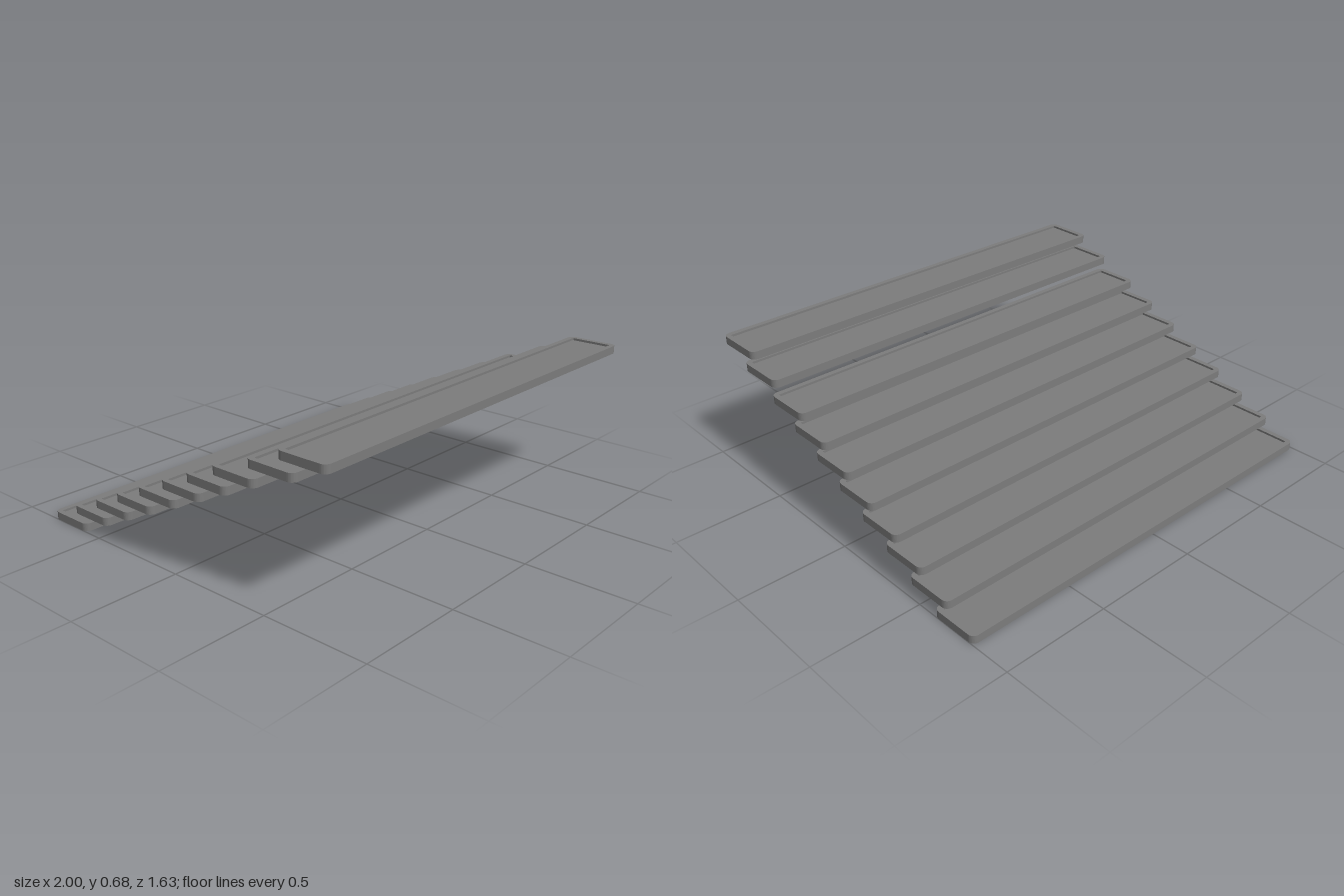
import * as THREE from 'three';

const HEIGHT = 0.036, RIM = 0.024, RECESS = 0.01;

// Rounded rectangle outline, centred on the origin
function outline(path, w, d, r) {
  const x = w / 2, y = d / 2;
  path.moveTo(-x + r, -y);
  path.lineTo(x - r, -y);
  path.absarc(x - r, -y + r, r, -Math.PI / 2, 0);
  path.lineTo(x, y - r);
  path.absarc(x - r, y - r, r, 0, Math.PI / 2);
  path.lineTo(-x + r, y);
  path.absarc(-x + r, y - r, r, Math.PI / 2, Math.PI);
  path.lineTo(-x, -y + r);
  path.absarc(-x + r, -y + r, r, Math.PI, Math.PI * 1.5);
  return path;
}

// Extrude upwards from y = bottom
function slab(shape, height, bottom) {
  return new THREE.ExtrudeGeometry(shape, { depth: height, bevelEnabled: false, curveSegments: 4 })
    .rotateX(-Math.PI / 2)
    .translate(0, bottom, 0);
}

export function createModel() {
  const model = new THREE.Group();
  model.name = 'floatingStaircase';
  const stone = new THREE.MeshStandardMaterial({ color: 0x7c7c7c });
  stone.name = 'stoneGrey';

  // Each step: bottom height, back z, front z
  const steps = [
    [0, -0.815, -0.588], [0.072, -0.666, -0.438], [0.143, -0.516, -0.288],
    [0.213, -0.366, -0.138], [0.284, -0.217, 0.011], [0.355, -0.067, 0.161],
    [0.425, 0.083, 0.311], [0.496, 0.233, 0.461], [0.573, 0.423, 0.66],
    [0.646, 0.578, 0.815],
  ];

  steps.forEach(([y, back, front], i) => {
    const depth = front - back;
    const step = new THREE.Group();
    step.name = `step${i + 1}`;
    step.position.set(0, y, (back + front) / 2);

    // Tread, with its top sunk below the rim
    const tread = new THREE.Mesh(
      slab(outline(new THREE.Shape(), 2, depth, 0.028), HEIGHT - RECESS, 0), stone);
    tread.name = 'tread';

    // Raised border around the tread
    const border = outline(new THREE.Shape(), 2, depth, 0.028);
    border.holes.push(outline(new THREE.Path(), 2 - RIM * 2, depth - RIM * 2, 0.006));
    const rim = new THREE.Mesh(slab(border, RECESS, HEIGHT - RECESS), stone);
    rim.name = 'rim';

    step.add(tread, rim);
    model.add(step);
  });
  return model;
}
